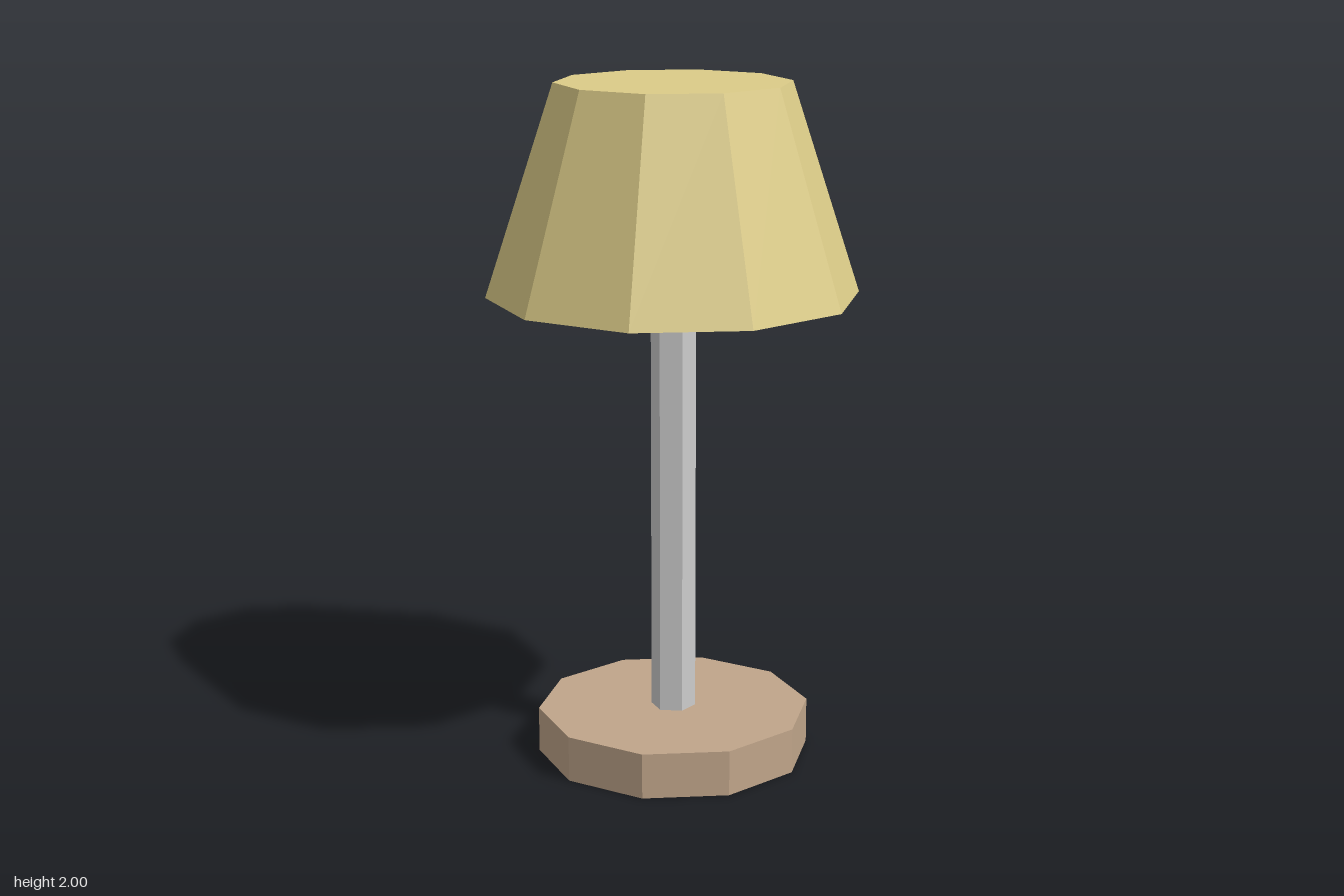
import * as THREE from 'three';

const material = (color) => new THREE.MeshStandardMaterial({ color, flatShading: true });

function part(name, geometry, mat, y = 0) {
  const mesh = new THREE.Mesh(geometry, mat);
  mesh.name = name;
  mesh.position.y = y;
  return mesh;
}

// Upright faceted cylinder or cone between two heights
function column(name, rTop, rBottom, y0, y1, sides, mat) {
  const geometry = new THREE.CylinderGeometry(rTop, rBottom, y1 - y0, sides);
  return part(name, geometry, mat, (y0 + y1) / 2);
}

export function createModel() {
  const lamp = new THREE.Group();
  lamp.name = 'tableLamp';

  const wood = material(0xc0a58a);
  const metal = material(0xcccccc);
  const fabric = material(0xdccc88);

  // Ten-sided foot, six-sided pole
  lamp.add(column('base', 0.405, 0.405, 0, 0.135, 10, wood));
  lamp.add(column('pole', 0.066, 0.066, 0.135, 1.4, 6, metal));

  // Six-sided socket flaring up into the shade
  const profile = [[0, 1.32], [0.09, 1.32], [0.1, 1.335], [0.12, 1.395], [0, 1.395]]
    .map(([r, y]) => new THREE.Vector2(r, y));
  lamp.add(part('socket', new THREE.LatheGeometry(profile, 6), metal));

  // Ten-sided closed shade
  lamp.add(column('shade', 0.34, 0.54, 1.39, 2, 10, fabric));

  return lamp;
}
